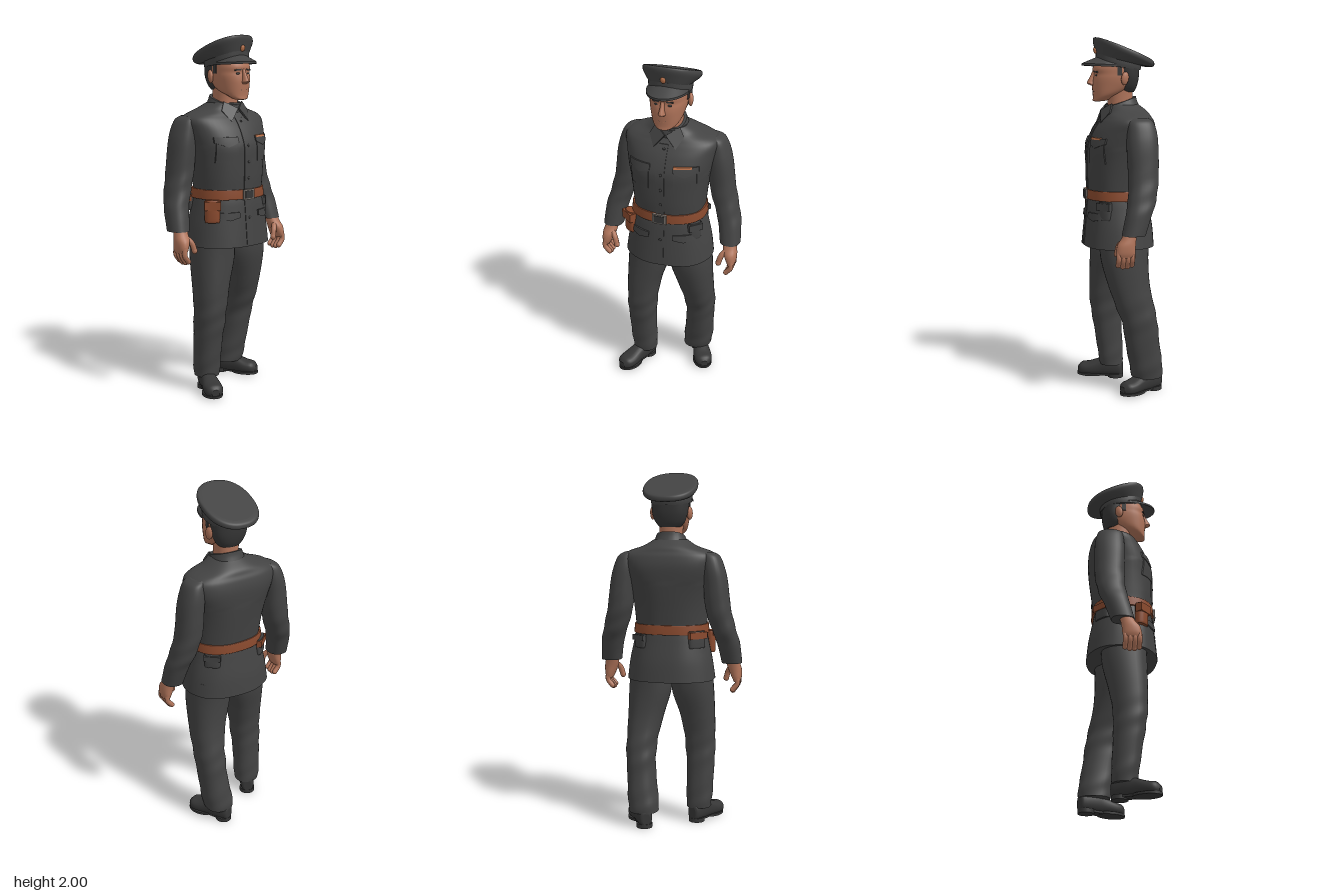
import * as THREE from 'three';

const mat = (name, color) => Object.assign(new THREE.MeshStandardMaterial({ color }), { name });
const cloth = mat('charcoal cloth', 0x434343);
const leather = mat('brown leather', 0x8a4a2e);
const skin = mat('skin', 0xb0745a);
const dark = mat('dark hair and shoes', 0x363636);
const metal = mat('buckle metal', 0x77706a);
const badge = mat('badge copper', 0xb8714a);

const EXP = 2.3; // roundness of cross-sections

// smooth interpolation through rings [x, y, z, rx, rz, tilt]
function refine(rings, steps) {
  const out = [], last = rings.length - 1;
  for (let i = 0; i < last; i++) {
    const [p0, p1, p2, p3] = [-1, 0, 1, 2].map(k => rings[Math.min(last, Math.max(0, i + k))]);
    for (let s = 0; s < steps; s++) {
      const t = s / steps;
      out.push([0, 1, 2, 3, 4, 5].map(k => {
        const [a, b, c, d] = [p0, p1, p2, p3].map(p => p[k] ?? 0);
        return b + 0.5 * t * (c - a + t * (2 * a - 5 * b + 4 * c - d + t * (3 * (b - c) + d - a)));
      }));
    }
  }
  out.push([...rings[last]]);
  return out;
}

// closed skin over horizontal cross-sections; fold(angle, y) scales the radius
function loft(rings, { n = 32, steps = 4, fold = () => 1 } = {}) {
  const rs = refine(rings[0][1] > rings.at(-1)[1] ? [...rings].reverse() : rings, steps);
  const pos = [], idx = [];
  const ringAt = ([x, y, z, rx, rz, tilt = 0]) => {
    const start = pos.length / 3;
    for (let j = 0; j < n; j++) {
      const a = j / n * Math.PI * 2, f = fold(a, y);
      const c = Math.cos(a), s = Math.sin(a);
      const dx = Math.sign(c) * Math.abs(c) ** (2 / EXP) * rx * f;
      const dz = Math.sign(s) * Math.abs(s) ** (2 / EXP) * rz * f;
      pos.push(x + dx, y + tilt * dz, z + dz);
    }
    return start;
  };
  const starts = rs.map(ringAt);
  for (let i = 0; i < starts.length - 1; i++) for (let j = 0; j < n; j++) {
    const k = (j + 1) % n, a = starts[i], b = starts[i + 1];
    idx.push(a + j, b + j, a + k, a + k, b + j, b + k);
  }
  for (const [r, top] of [[rs[0], false], [rs.at(-1), true]]) {
    const s = ringAt(r), c = pos.length / 3;
    pos.push(r[0], r[1], r[2]);
    for (let j = 0; j < n; j++) {
      const k = (j + 1) % n;
      idx.push(c, s + (top ? k : j), s + (top ? j : k));
    }
  }
  const g = new THREE.BufferGeometry();
  g.setAttribute('position', new THREE.Float32BufferAttribute(pos, 3));
  g.setIndex(idx);
  g.computeVertexNormals();
  return g;
}

const TORSO = [
  [0, .84, .015, .25, .2], [0, .95, .015, .235, .19], [0, 1.07, .02, .21, .174], [0, 1.13, .02, .2, .166],
  [0, 1.22, .018, .207, .173], [0, 1.32, .012, .22, .18], [0, 1.4, .006, .234, .183], [0, 1.48, -.012, .252, .17],
  [0, 1.535, -.025, .262, .148], [0, 1.565, -.03, .235, .13], [0, 1.595, -.03, .15, .115], [0, 1.63, -.01, .092, .092]];
const torsoRings = refine(TORSO, 6);

// broad shoulder blades and soft cloth waves
const torsoFold = (a, y) => 1 + .008 * Math.sin(a * 7 + y * 9) * (y < 1.4)
  + (a > Math.PI ? .075 * Math.sin(2 * a) ** 2 * Math.exp(-(((y - 1.47) / .12) ** 2)) : 0);

// front surface of the tunic
function frontZ(x, y) {
  const i = Math.max(1, torsoRings.findIndex(r => r[1] >= y));
  const a = torsoRings[i - 1], b = torsoRings[i], t = (y - a[1]) / (b[1] - a[1]);
  const [, , z, rx, rz] = a.map((v, k) => v + (b[k] - v) * t);
  return z + rz * (1 - Math.min(1, Math.abs(x / rx)) ** EXP) ** (1 / EXP);
}

// plate that follows the tunic front, optionally with a pointed lower edge
function patch(x, y, w, h, d, point = 0) {
  const g = new THREE.BoxGeometry(w, h, d, 8, Math.max(2, Math.ceil(h / .03)), 1), p = g.attributes.position;
  for (let i = 0; i < p.count; i++) {
    const lx = p.getX(i), ly = p.getY(i);
    const drop = point * Math.max(0, 1 - Math.abs(lx) / (w / 2)) * (.5 - ly / h);
    const px = x + lx, py = y + ly - drop;
    p.setXYZ(i, px, py, frontZ(px, py) + p.getZ(i));
  }
  g.computeVertexNormals();
  return g;
}

export function createModel() {
  const root = new THREE.Group();
  root.name = 'uniformedMan';
  const add = (name, geo, m, pos = [0, 0, 0], rot = [0, 0, 0], scale = [1, 1, 1], parent = root) => {
    const mesh = new THREE.Mesh(geo, m);
    mesh.name = name;
    mesh.position.set(...pos); mesh.rotation.set(...rot); mesh.scale.set(...scale);
    parent.add(mesh);
  };
  const ball = new THREE.SphereGeometry(1, 20, 14);
  const box = (...s) => new THREE.BoxGeometry(...s);
  const limb = (name, pts, r, m) => add(name, new THREE.TubeGeometry(
    new THREE.CatmullRomCurve3(pts.map(p => new THREE.Vector3(...p))), 8, r, 8), m);

  // tunic
  add('tunic', loft(TORSO, { n: 48, steps: 6, fold: torsoFold }), cloth);
  add('placket', patch(-.005, 1.2, .05, .7, .008), cloth);
  for (const y of [1.53, 1.4, 1.31, 1.22, 1.0]) add('button', ball, dark, [0, y, frontZ(0, y) + .004], [0, 0, 0], [.008, .008, .005]);
  for (const s of [-1, 1]) {
    add('chestPocket', patch(s * .128, 1.375, .115, .13, .008), cloth);
    add('chestFlap', patch(s * .13, 1.435, .13, .03, .016, .025), cloth);
    add('hipFlap', patch(s * .13, 1.02, .12, .03, .016, .015), cloth);
  }
  add('ribbonBar', patch(.115, 1.447, .095, .011, .02), badge);

  // collar
  add('collar', loft([[0, 1.585, -.01, .1, .1, -.3], [0, 1.62, 0, .09, .094, -.33], [0, 1.647, 0, .08, .088, -.33]]), cloth);
  for (const s of [-1, 1]) {
    const flap = new THREE.Shape([[0, .005], [.07, .06], [.1, .01], [.063, -.062]].map(([x, y]) => new THREE.Vector2(s * x, y)));
    add('collarFlap', new THREE.ExtrudeGeometry(flap, { depth: .01, bevelEnabled: false }), cloth, [0, 1.592, .107], [-.5, s * .35, 0]);
  }

  // belt with buckle and pouches
  add('belt', loft([[0, 1.105, .02, .212, .177], [0, 1.108, .02, .214, .179], [0, 1.155, .02, .21, .176], [0, 1.158, .02, .208, .174]], { n: 48, steps: 1 }), leather);
  add('buckle', box(.08, .058, .012), metal, [-.005, 1.13, .199]);
  add('bucklePlate', box(.06, .042, .008), dark, [-.005, 1.13, .204]);
  const pouch = (name, bodyMat, flapMat, pos, ry, w, h, d) => {
    const g = new THREE.Group();
    g.name = name; g.position.set(...pos); g.rotation.y = ry;
    root.add(g);
    add('pouchBody', loft([[0, -h / 2, 0, w * .42, d * .4], [0, -h * .4, 0, w * .47, d / 2], [0, h * .4, 0, w * .47, d / 2], [0, h / 2, 0, w * .42, d * .4]], { n: 20, steps: 2 }), bodyMat, [0, 0, 0], [0, 0, 0], [1, 1, 1], g);
    add('pouchFlap', box(w, h * .4, d * .7), flapMat, [0, h * .25, d * .22], [0, 0, 0], [1, 1, 1], g);
  };
  pouch('rightFrontPouch', leather, leather, [-.2, 1.045, .115], -.7, .09, .125, .06);
  pouch('leftFrontPouch', cloth, cloth, [.172, 1.05, .122], .75, .085, .1, .045);
  pouch('rightBackPouch', cloth, leather, [-.165, 1.078, -.1], -2.4, .11, .095, .04);
  pouch('leftBackPouch', cloth, cloth, [.155, 1.065, -.11], 2.45, .095, .075, .035);

  // arms and hands, mirrored
  const ARM = [[.215, 1.562, -.06, .035, .05], [.238, 1.54, -.062, .048, .07], [.252, 1.48, -.066, .06, .082],
    [.264, 1.4, -.066, .067, .086], [.28, 1.25, -.067, .07, .083], [.312, 1.13, -.053, .066, .077],
    [.335, 1.05, -.03, .063, .07], [.35, .94, .002, .057, .064]];
  const HAND = [[.35, .97, .015, .034, .035], [.356, .925, .03, .038, .04], [.364, .89, .045, .037, .05], [.372, .85, .05, .028, .052], [.374, .825, .05, .018, .046]];
  for (const s of [-1, 1]) {
    const side = s > 0 ? 'left' : 'right';
    const flip = rows => rows.map(([x, ...r]) => [s * x, ...r]);
    add(side + 'Sleeve', loft(flip(ARM), { steps: 6, fold: (a, y) => 1 + .025 * Math.sin(y * 55 + a * 2) * Math.exp(-(((y - 1.16) / .12) ** 2)) }), cloth);
    add(side + 'Hand', loft(flip(HAND), { n: 20 }), skin);
    for (let i = 0; i < 4; i++) {
      const z = .013 + i * .025, low = .768 + Math.abs(i - 1.5) * .008;
      limb(side + 'Finger', flip([[.374, .86, z], [.379, .815, z + .002], [.352, low, z]]), .0145, skin);
      add(side + 'Fingertip', ball, skin, [s * .352, low, z], [0, 0, 0], [.0145, .0145, .0145]);
    }
    limb(side + 'Thumb', flip([[.345, .91, .055], [.32, .88, .078], [.306, .835, .086]]), .016, skin);
    add(side + 'Thumbtip', ball, skin, [s * .306, .835, .086], [0, 0, 0], [.016, .018, .016]);
  }

  // trousers, with the right leg ahead of the left
  const crease = (a, y) => 1 + .028 * Math.sin(y * 48 + a * 2) * (Math.exp(-(((y - .43) / .1) ** 2)) + Math.exp(-(((y - .14) / .08) ** 2)));
  add('leftTrouser', loft([[.12, .92, .0, .11, .14], [.122, .78, .003, .12, .134], [.142, .63, -.018, .102, .118], [.157, .5, -.052, .088, .108],
    [.16, .4, -.08, .083, .1], [.154, .3, -.094, .081, .096], [.14, .15, -.12, .085, .094], [.133, .085, -.127, .083, .086]], { steps: 7, fold: crease }), cloth);
  add('rightTrouser', loft([[-.12, .92, .02, .11, .13], [-.122, .78, .025, .12, .125], [-.147, .63, .042, .1, .108], [-.16, .5, .052, .088, .095],
    [-.165, .4, .048, .083, .088], [-.166, .3, .038, .078, .08], [-.163, .15, .024, .074, .073], [-.16, .085, .02, .07, .066]], { steps: 7, fold: crease }), cloth);

  // shoes
  const SHOE = [[0, -.135, -.055, .022, .035], [0, -.12, -.06, .038, .052], [0, -.05, -.065, .046, .06], [0, 0, -.058, .047, .052],
    [0, .07, -.045, .055, .04], [0, .115, -.042, .047, .035], [0, .137, -.036, .022, .02]];
  for (const [side, s, x, z] of [['left', 1, .163, -.088], ['right', -1, -.193, .078]]) {
    const shoe = new THREE.Group();
    shoe.name = side + 'Shoe'; shoe.position.set(x, 0, z); shoe.rotation.y = s * .46;
    root.add(shoe);
    const part = (name, g, p, sc = [1, 1, 1]) => add(name, g, dark, p, [0, 0, 0], sc, shoe);
    part('shoeUpper', loft(SHOE, { n: 24 }).rotateX(Math.PI / 2), [0, 0, 0]);
    part('sole', new THREE.CylinderGeometry(1, 1, .014, 28), [0, .013, .062], [.057, 1, .082]);
    part('shank', box(.066, .012, .1), [0, .014, -.03]);
    part('heel', new THREE.CylinderGeometry(1, 1, .024, 24), [0, .012, -.092], [.045, 1, .046]);
  }

  // neck and head
  add('neck', loft([[0, 1.59, 0, .066, .07], [0, 1.66, .0, .065, .07], [0, 1.74, .005, .068, .075]]), skin);
  add('head', loft([[0, 1.65, .108, .024, .032, -.1], [0, 1.667, .092, .052, .063, -.25], [0, 1.692, .064, .077, .09, -.2],
    [0, 1.74, .042, .092, .117], [0, 1.775, .037, .098, .119], [0, 1.8, .034, .099, .117], [0, 1.83, .03, .1, .125], [0, 1.87, .02, .098, .115]]), skin);
  add('nose', loft([[0, 1.735, .15, .014, .012], [0, 1.745, .16, .02, .026], [0, 1.755, .16, .016, .028], [0, 1.785, .152, .011, .02], [0, 1.815, .146, .01, .012]], { n: 16 }), skin);
  add('mouth', box(.042, .006, .008), dark, [0, 1.704, .151]);
  add('lowerLip', ball, skin, [0, 1.696, .149], [0, 0, 0], [.02, .006, .007]);
  for (const s of [-1, 1]) {
    add('eye', ball, dark, [s * .037, 1.792, .144], [0, s * .25, 0], [.013, .006, .005]);
    add('eyebrow', box(.038, .008, .008), dark, [s * .038, 1.812, .146], [0, s * .25, s * -.1]);
    add('ear', ball, skin, [s * .106, 1.775, -.004], [-.15, s * .35, 0], [.014, .037, .023]);
    add('sideburn', box(.008, .05, .025), dark, [s * .098, 1.815, .025]);
  }
  add('hair', loft([[0, 1.7, -.028, .06, .048], [0, 1.73, -.032, .084, .058], [0, 1.78, -.035, .1, .066], [0, 1.85, -.025, .106, .08]]), dark);

  // peaked cap with a backward-sloping crown
  add('capBand', loft([[0, 1.835, .01, .112, .122, .12], [0, 1.855, .01, .115, .125, .16], [0, 1.885, .01, .115, .126, .22]], { n: 40 }), cloth);
  add('capCrown', loft([[0, 1.868, .008, .112, .122, .2], [0, 1.889, -.01, .136, .152, .34], [0, 1.908, -.018, .15, .168, .4],
    [0, 1.925, -.02, .151, .17, .4], [0, 1.935, -.02, .144, .164, .4], [0, 1.938, -.02, .125, .145, .4]], { n: 48 }), cloth);
  const peak = box(2.7, .012, 1, 28, 1, 6), pp = peak.attributes.position;
  for (let i = 0; i < pp.count; i++) {
    const a = pp.getX(i), v = pp.getZ(i) + .5, c = Math.max(0, Math.cos(a));
    pp.setXYZ(i, Math.sin(a) * (.112 + .004 * v), 1.842 + .046 * c - v * .036 * c + pp.getY(i), .01 + c * .12 + v * .087 * c ** .8);
  }
  peak.computeVertexNormals();
  add('capPeak', peak, cloth);
  add('capBadge', ball, badge, [0, 1.928, .143], [.25, 0, 0], [.015, .018, .009]);
  return root;
}
